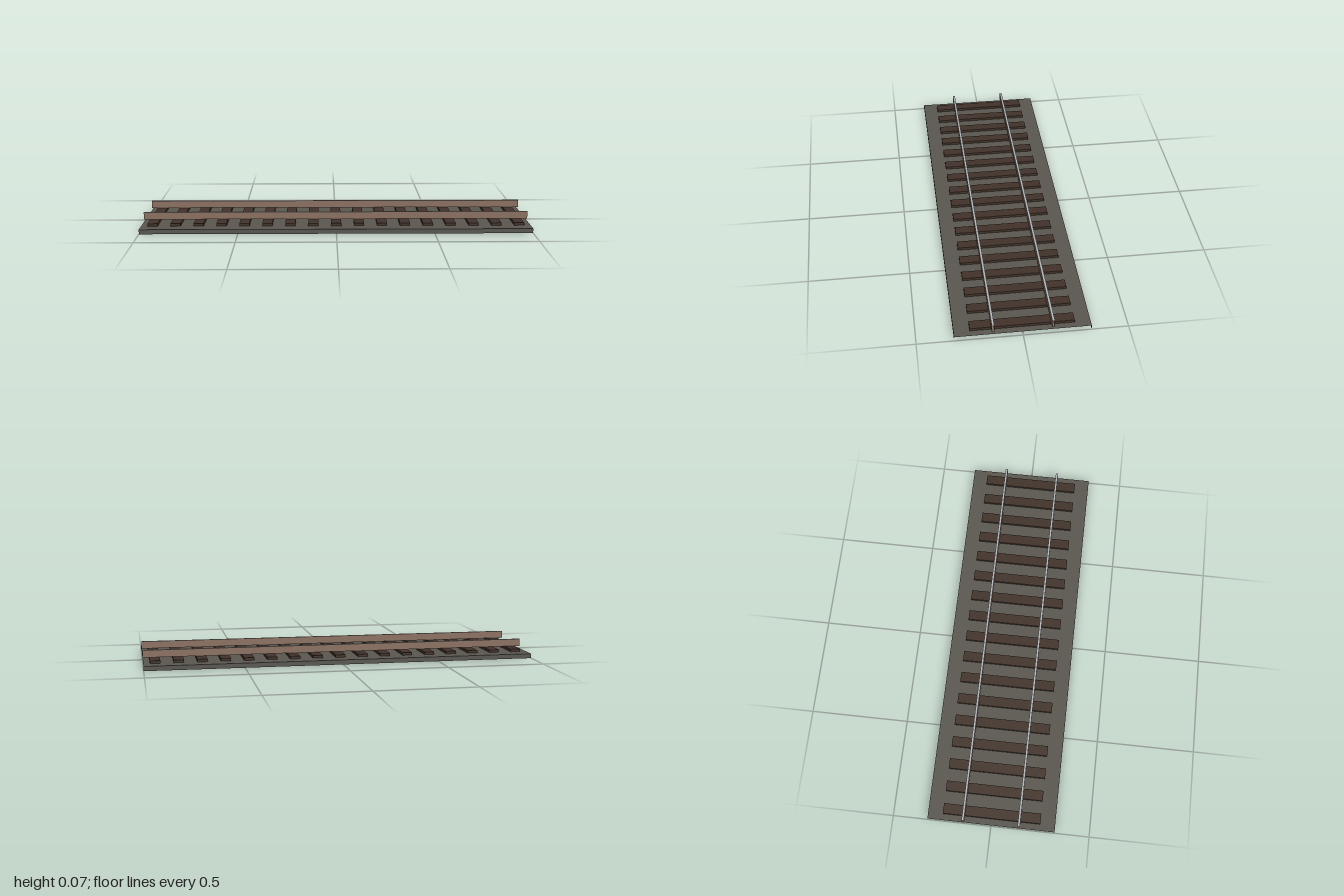
import * as THREE from 'three';

const LENGTH = 2, TIES = 17;
const BED_TOP = 0.0235, TIE_BOTTOM = 0.023, TIE_TOP = 0.037, RAIL_TOP = 0.0745;
const BED_HALF = 0.3235, RAIL_Z = 0.1415, RAIL_W = 0.012;

function material(name, color) {
  const m = new THREE.MeshStandardMaterial({ color, side: THREE.DoubleSide });
  m.name = name;
  return m;
}

export function createModel() {
  const track = new THREE.Group();
  track.name = 'railwayTrack';
  const gravel = material('gravel grey', 0x5a5750);
  const timber = material('dark timber', 0x42332a);
  const rust = material('rusty steel', 0x8c7262);
  const steel = material('polished steel', 0xb2b6ba);

  const add = (parent, name, geometry, mat) => {
    const mesh = new THREE.Mesh(geometry, mat);
    mesh.name = name;
    parent.add(mesh);
    return mesh;
  };
  // horizontal sheet running the full length
  const deck = (width, y, z) =>
    new THREE.PlaneGeometry(LENGTH, width).rotateX(-Math.PI / 2).translate(0, y, z);
  // upright sheet facing +z (dir 1) or -z (dir -1)
  const wall = (y0, y1, z, dir) =>
    new THREE.PlaneGeometry(LENGTH, y1 - y0)
      .rotateY(dir > 0 ? 0 : Math.PI)
      .translate(0, (y0 + y1) / 2, z);

  // ballast bed: open at the ends and underneath
  const bed = new THREE.Group();
  bed.name = 'ballastBed';
  add(bed, 'ballastTop', deck(BED_HALF * 2, BED_TOP, 0), gravel);
  for (const s of [1, -1]) add(bed, 'ballastSide', wall(0, BED_TOP, s * BED_HALF, s), gravel);
  track.add(bed);

  // evenly spaced ties
  const tieGeometry = new THREE.BoxGeometry(0.052, TIE_TOP - TIE_BOTTOM, 0.496);
  const step = LENGTH / TIES;
  for (let i = 0; i < TIES; i++) {
    add(track, 'tie', tieGeometry, timber)
      .position.set(-1 + step * (i + 0.5), (TIE_TOP + TIE_BOTTOM) / 2, 0);
  }

  // rails: rusty sides, polished running surface, open ends
  for (const s of [1, -1]) {
    const rail = new THREE.Group();
    rail.name = s > 0 ? 'frontRail' : 'backRail';
    for (const d of [1, -1]) {
      add(rail, 'railSide', wall(TIE_TOP, RAIL_TOP, s * RAIL_Z + d * RAIL_W / 2, d), rust);
    }
    add(rail, 'railTop', deck(RAIL_W, RAIL_TOP, s * RAIL_Z), steel);
    add(rail, 'railBase', deck(RAIL_W, TIE_TOP + 0.0003, s * RAIL_Z), rust);
    track.add(rail);
  }
  return track;
}
